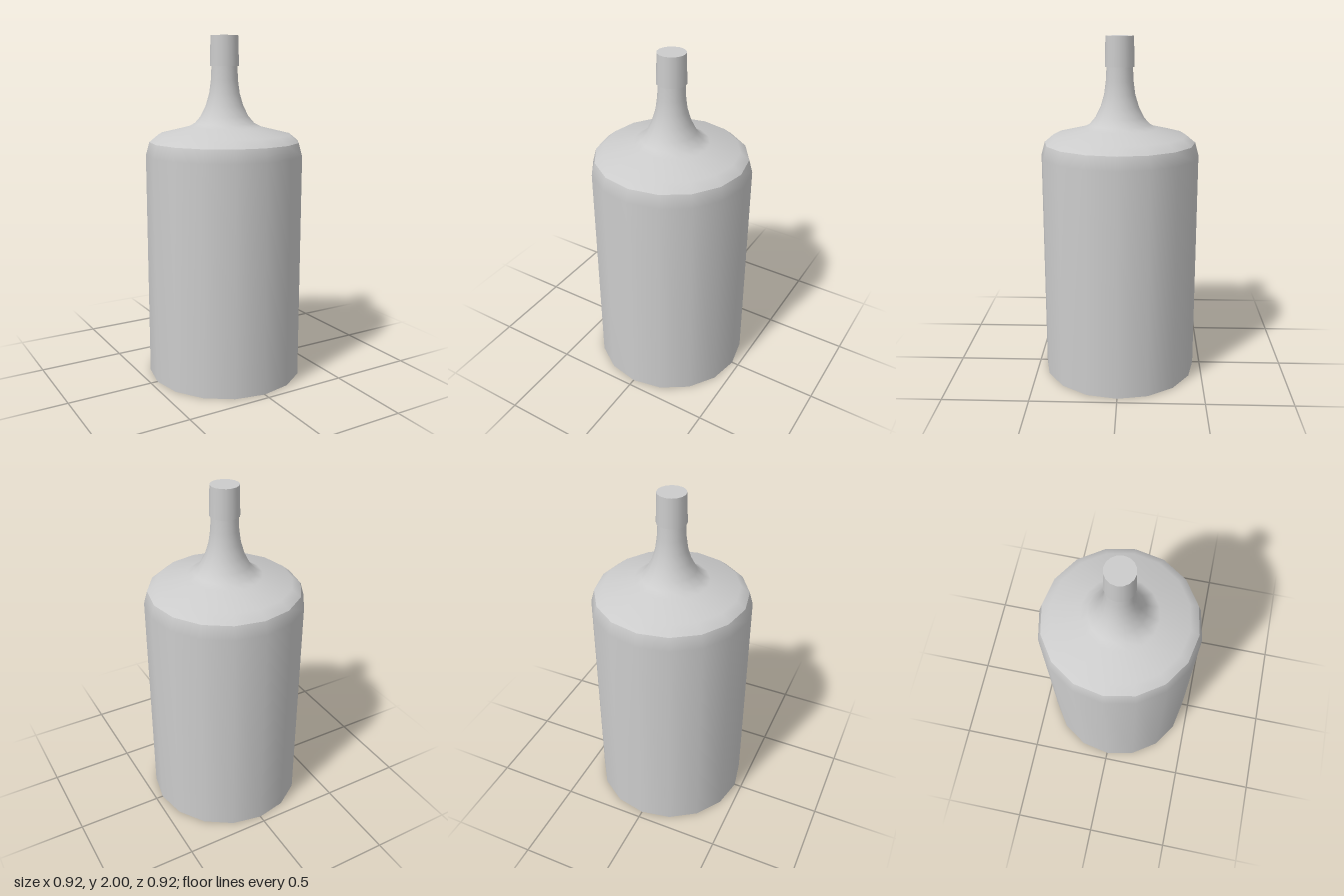
import * as THREE from 'three';

const SIDES = 16;
const material = new THREE.MeshStandardMaterial({ color: 0xcccccc });

// Turn a [radius, height] profile, listed from bottom to top, around the y axis
function turned(name, profile) {
  const points = profile.map(([r, y]) => new THREE.Vector2(r, y));
  const mesh = new THREE.Mesh(new THREE.LatheGeometry(points, SIDES), material);
  mesh.name = name;
  return mesh;
}

export function createModel() {
  const bottle = new THREE.Group();
  bottle.name = 'bottle';

  // Each smooth surface is its own part, so the rims between them stay sharp
  bottle.add(
    turned('base', [[0, 0], [0.458, 0]]),
    turned('body', [[0.458, 0], [0.458, 1.325], [0.437, 1.4]]),
    turned('shoulderAndNeck', [
      [0.437, 1.4], [0.385, 1.443], [0.215, 1.484], [0.175, 1.505],
      [0.14, 1.545], [0.11, 1.605], [0.089, 1.675], [0.079, 1.75], [0.075, 1.83],
    ]),
    turned('capUnderside', [[0.07, 1.83], [0.084, 1.83]]),
    turned('capSide', [[0.084, 1.83], [0.08, 2]]),
    turned('capTop', [[0.08, 2], [0, 2]]),
  );
  return bottle;
}
